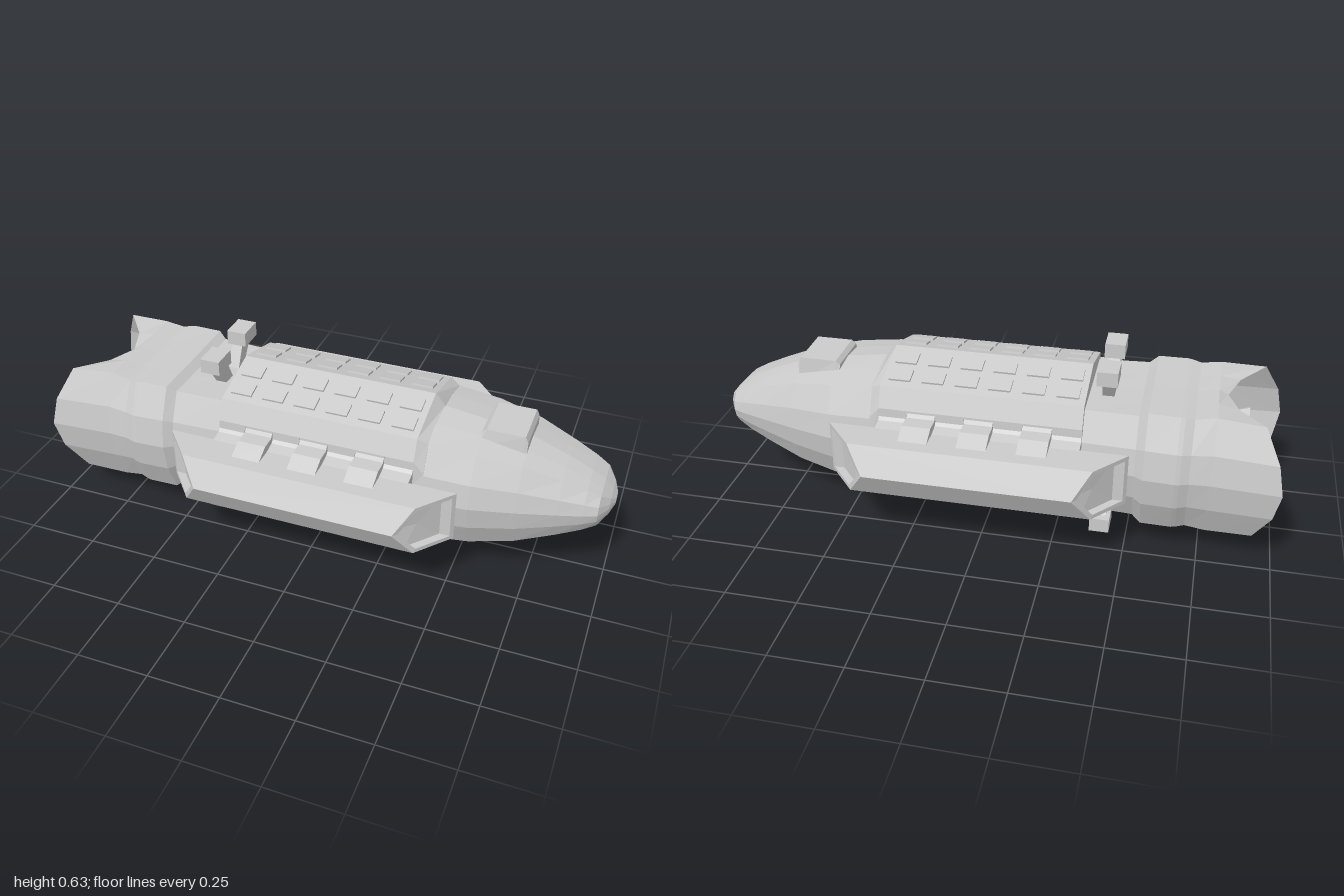
import * as THREE from 'three';

const mat = new THREE.MeshStandardMaterial({ color: 0xcccccc, flatShading: true, side: THREE.DoubleSide });

// Skin a list of closed rings of [x, y, z], ordered towards +x
function loft(rings, capStart = true, capEnd = true) {
  const n = rings[0].length, pos = rings.flat(2), idx = [];
  for (let r = 0; r < rings.length - 1; r++) {
    for (let i = 0; i < n; i++) {
      const a = r * n + i, b = r * n + (i + 1) % n;
      idx.push(a, b, a + n, b, b + n, a + n);
    }
  }
  const cap = (ring, start, flip) => {
    const c = pos.length / 3;
    for (let k = 0; k < 3; k++) pos.push(ring.reduce((s, p) => s + p[k], 0) / n);
    for (let i = 0; i < n; i++) {
      const a = start + i, b = start + (i + 1) % n;
      idx.push(c, flip ? b : a, flip ? a : b);
    }
  };
  if (capStart) cap(rings[0], 0, true);
  if (capEnd) cap(rings[rings.length - 1], (rings.length - 1) * n, false);
  const g = new THREE.BufferGeometry();
  g.setAttribute('position', new THREE.Float32BufferAttribute(pos, 3));
  g.setIndex(idx);
  g.computeVertexNormals();
  return g;
}

function add(parent, name, geometry, x = 0, y = 0, z = 0) {
  const m = new THREE.Mesh(geometry, mat);
  m.name = name;
  m.position.set(x, y, z);
  parent.add(m);
  return m;
}

// Complete a quarter outline of [z, y] (top centre to side centre) to a full ring
function mirrorRing(quarter) {
  const lower = quarter.slice(0, -1).reverse().map(([z, y]) => [z, -y]);
  const half = [...quarter, ...lower];
  return [...half, ...half.slice(1, -1).reverse().map(([z, y]) => [-z, y])];
}
const at = (x, ring) => ring.map(([z, y]) => [x, y, z]);

// Hull section from half width, height at the centre line and height at the shoulder
const section = (w, a, c) => mirrorRing([
  [0, a], [w * 0.38, a * 0.6 + c * 0.4], [w * 0.76, c], [w * 0.94, c * 0.48], [w, 0]]);

export function createModel() {
  const root = new THREE.Group();
  root.name = 'spacecraft';
  const ship = new THREE.Group();
  ship.name = 'ship';
  ship.position.y = 0.3175;
  root.add(ship);

  // Hull: the open tail has a swept-in edge at top and bottom
  const tail = section(0.283, 0.2, 0.212);
  const tailX = (z) => -0.8 - 0.2 * Math.pow(Math.abs(z) / 0.283, 1.7);
  const stations = [
    [-0.77, 0.268, 0.215, 0.22], [-0.7, 0.272, 0.205, 0.208], [-0.67, 0.283, 0.21, 0.213],
    [-0.655, 0.285, 0.212, 0.215], [-0.55, 0.28, 0.214, 0.216], [-0.52, 0.26, 0.192, 0.195],
    [-0.34, 0.25, 0.19, 0.192], [0.36, 0.25, 0.215, 0.195], [0.4, 0.25, 0.226, 0.195],
    [0.55, 0.24, 0.205, 0.18], [0.7, 0.203, 0.178, 0.155], [0.83, 0.165, 0.128, 0.112],
    [0.91, 0.14, 0.092, 0.082], [0.955, 0.122, 0.066, 0.06], [0.985, 0.07, 0.035, 0.032],
    [1, 0.025, 0.012, 0.011]];
  add(ship, 'hull', loft(
    [tail.map(([z, y]) => [tailX(z), y, z]), ...stations.map(([x, ...s]) => at(x, section(...s)))],
    false, true));

  // Engine bay
  add(ship, 'engineBulkhead', loft([at(-0.76, section(0.26, 0.2, 0.2)), at(-0.74, section(0.26, 0.2, 0.2))]));
  for (const y of [-0.09, 0.09]) {
    for (const z of [-0.05, 0.05]) {
      const bell = new THREE.CylinderGeometry(0.022, 0.042, 0.06, 8, 1, true).rotateZ(-Math.PI / 2);
      add(ship, 'engineNozzle', bell, -0.85, y, z);
      const neck = new THREE.CylinderGeometry(0.03, 0.03, 0.07, 8).rotateZ(-Math.PI / 2);
      add(ship, 'engineNeck', neck, -0.79, y, z);
    }
  }

  // Ridged armour around the middle
  const armour = mirrorRing([[0, 0.2675], [0.205, 0.2125], [0.236, 0.14], [0.245, 0]]);
  const armourFront = mirrorRing([[0, 0.226], [0.19, 0.195], [0.234, 0.1], [0.245, 0]]);
  add(ship, 'armour', loft([at(-0.34, armour), at(0.36, armour), at(0.395, armourFront)]));

  // Armour tiles and pod brackets, the same in all four quarters
  const tilt = Math.atan2(0.055, 0.205);
  const tile = new THREE.BoxGeometry(0.075, 0.014, 0.055);
  const tall = [[0.2, 0.185], [0.245, 0.12], [0.3, 0.12], [0.36, 0.09], [0.36, 0], [0.2, 0]];
  const low = [[0.2, 0.15], [0.248, 0.1], [0.3, 0.09], [0.36, 0.08], [0.36, 0], [0.2, 0]];
  for (const sy of [1, -1]) {
    for (const sz of [1, -1]) {
      const quarter = new THREE.Group();
      quarter.name = 'armourQuarter';
      quarter.scale.set(1, sy, sz);
      ship.add(quarter);
      for (let i = 0; i < 6; i++) {
        for (const z of [0.065, 0.15]) {
          const t = add(quarter, 'armourTile', tile, -0.28 + i * 0.116, 0.2675 - z * 0.268, z);
          t.rotation.x = tilt;
        }
      }
      for (let i = 0; i < 7; i++) {
        const x = -0.34 + i * 0.1, ring = i % 2 ? tall : low;
        add(quarter, 'podBracket', loft([at(x, ring), at(x + 0.1, ring)]));
      }

      // Manoeuvring thruster on a leaning post
      const foot = [[0.02, 0.18], [0.07, 0.18], [0.13, 0.27], [0.065, 0.27]].reverse();
      add(quarter, 'thrusterPost', loft([at(-0.425, foot), at(-0.385, foot)]));
      add(quarter, 'thruster', new THREE.BoxGeometry(0.07, 0.052, 0.095), -0.405, 0.2915, 0.1075);
    }
  }

  // Side pods with slanted, recessed ends
  const pod = [[0.285, 0.092], [0.405, 0.092], [0.455, 0], [0.405, -0.092], [0.285, -0.092]];
  const inset = pod.map(([z, y]) => [0.36 + (z - 0.36) * 0.84, y * 0.84]);
  const slant = (ring, dir, back) => ring.map(([z, y]) =>
    [0.01 + dir * (0.512 - back - (z - 0.285) * (z > 0.42 ? 0.95 : 0.85)), y, z]);
  for (const s of [1, -1]) {
    const g = loft([
      slant(inset, -1, 0.035), slant(inset, -1, 0), slant(pod, -1, 0),
      slant(pod, 1, 0), slant(inset, 1, 0), slant(inset, 1, 0.035)]);
    add(ship, s > 0 ? 'frontPod' : 'backPod', g).scale.z = s;
  }

  // Hatch on top of the nose
  const hatch = (w, bottom, top) => [[-w + 0.012, top], [w - 0.012, top], [w, bottom], [-w, bottom]];
  add(ship, 'noseHatch', loft([
    at(0.545, hatch(0.1, 0.18, 0.212)), at(0.56, hatch(0.1, 0.17, 0.225)),
    at(0.69, hatch(0.1, 0.14, 0.225)), at(0.7, hatch(0.1, 0.14, 0.205))]));

  return root;
}
